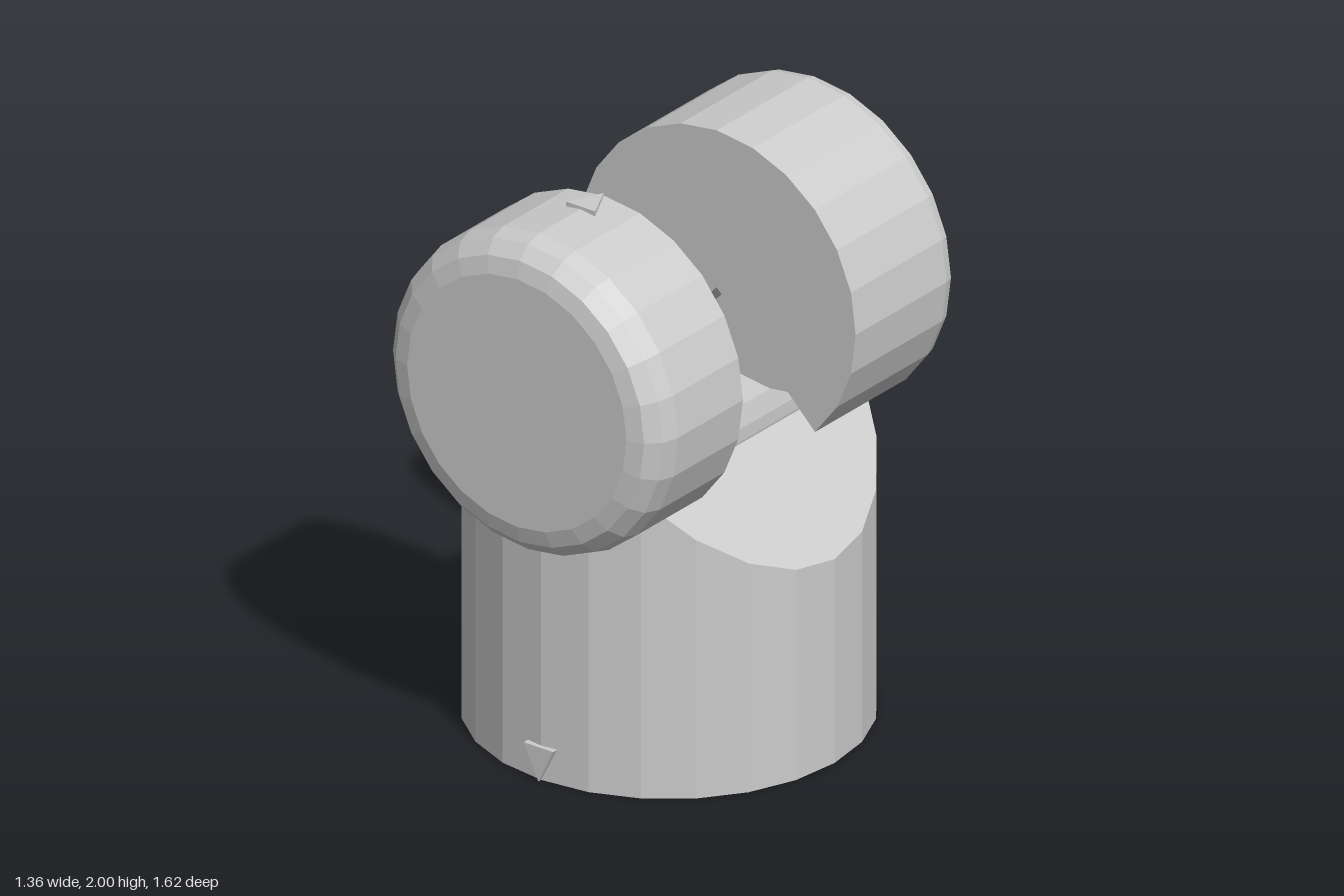
import * as THREE from 'three';

const SIDES = 24;
const AXIS_Y = 1.42;   // height of the horizontal axis
const R = 0.57;        // horizontal drum radius
const BASE_R = 0.68;   // vertical base radius
const JOIN_Z = 0.54;   // where the mitred drum part meets the full drum part
const STEP = (Math.PI * 2) / SIDES;

const material = new THREE.MeshStandardMaterial({ color: 0xcccccc, flatShading: true });
const sheetMaterial = new THREE.MeshStandardMaterial({ color: 0xcccccc, flatShading: true, side: THREE.DoubleSide });

function addMesh(parent, name, geometry, mat = material) {
  const mesh = new THREE.Mesh(geometry, mat);
  mesh.name = name;
  parent.add(mesh);
  return mesh;
}

function fromTriangles(triangles) {
  const g = new THREE.BufferGeometry().setFromPoints(triangles.flat());
  g.computeVertexNormals();
  return g;
}

// Round base: flat bottom, top mitred by two 45 degree planes, with a groove along z
function makeBase() {
  const group = new THREE.Group();
  group.name = 'base';
  const V = (x, y, z) => new THREE.Vector3(x, y, z);
  const ring = [];
  for (let i = 0; i <= SIDES; i++) {
    const x = BASE_R * Math.sin(i * STEP), z = BASE_R * Math.cos(i * STEP);
    ring.push({ low: V(x, 0, z), high: V(x, Math.min(AXIS_Y - Math.abs(x), AXIS_Y - BASE_R / 2), z) });
  }

  const wall = [], bottom = [];
  for (let i = 0; i < SIDES; i++) {
    const a = ring[i], b = ring[i + 1];
    wall.push([a.low, b.low, b.high], [a.low, b.high, a.high]);
    bottom.push([V(0, 0, 0), b.low, a.low]);
  }
  addMesh(group, 'baseWall', fromTriangles(wall), sheetMaterial);
  addMesh(group, 'baseBottom', fromTriangles(bottom));

  // Sloped faces left and right: fans over the ring from 30 to 150 degrees
  for (const [name, first] of [['slopeLeft', 2], ['slopeRight', 14]]) {
    const fan = [];
    for (let i = first + 1; i < first + 8; i++) fan.push([ring[first].high, ring[i].high, ring[i + 1].high]);
    addMesh(group, name, fromTriangles(fan), sheetMaterial);
  }

  // Concave groove between the slopes
  const groove = [], gr = 0.48, gz = 0.588;
  const at = (i, z) => V(gr * Math.sin(i * STEP), AXIS_Y - gr * Math.cos(i * STEP), z);
  for (let i = -3; i < 3; i++) {
    groove.push([at(i, gz), at(i + 1, gz), at(i + 1, -gz)], [at(i, gz), at(i + 1, -gz), at(i, -gz)]);
  }
  addMesh(group, 'groove', fromTriangles(groove), sheetMaterial);
  return group;
}

// Horizontal drum end; sign +1 is the front, -1 the back
function makeDrum(name, sign, innerZ, bevel) {
  const group = new THREE.Group();
  group.name = name;

  // Mitred inner part: 24-sided disc with a 90 degree wedge removed below
  const shape = new THREE.Shape();
  shape.moveTo(0, 0);
  for (let i = -3; i <= 15; i++) shape.lineTo(R * Math.cos(i * STEP), R * Math.sin(i * STEP));
  shape.closePath();
  const inner = new THREE.ExtrudeGeometry(shape, { depth: JOIN_Z - innerZ, bevelEnabled: false });
  inner.translate(0, AXIS_Y, sign > 0 ? innerZ : -JOIN_Z);
  addMesh(group, 'mitredDrum', inner);

  // Full outer part with a rounded rim
  const profile = [new THREE.Vector2(0, JOIN_Z), new THREE.Vector2(R, JOIN_Z)];
  for (let i = 0; i <= 3; i++) {
    const a = (i * Math.PI) / 6;
    profile.push(new THREE.Vector2(R - bevel + bevel * Math.cos(a), 0.81 - bevel + bevel * Math.sin(a)));
  }
  profile.push(new THREE.Vector2(0, 0.81));
  const outer = new THREE.LatheGeometry(profile, SIDES);
  outer.rotateX((sign * Math.PI) / 2).translate(0, AXIS_Y, 0);
  addMesh(group, 'roundedDrumEnd', outer);
  return group;
}

// Small raised triangle, pointing down in its own plane
function makeMarker(name, depth) {
  const shape = new THREE.Shape();
  shape.moveTo(0, 0);
  shape.lineTo(0.06, 0.125);
  shape.lineTo(-0.06, 0.125);
  shape.closePath();
  const mesh = new THREE.Mesh(new THREE.ExtrudeGeometry(shape, { depth, bevelEnabled: false }), material);
  mesh.name = name;
  return mesh;
}

export function createModel() {
  const model = new THREE.Group();
  model.name = 'teeJoint';
  model.add(makeBase());
  model.add(makeDrum('frontDrum', 1, 0.345, 0.12));
  model.add(makeDrum('backDrum', -1, 0.255, 0.07));

  const frontMarker = makeMarker('frontMarker', 0.04);
  frontMarker.position.set(0, 0, 0.655);
  const topMarker = makeMarker('topMarker', 0.03);
  topMarker.rotation.set(Math.PI / 2, 0, 0);
  topMarker.position.set(0, 2.0, 0.346);
  model.add(frontMarker, topMarker);
  return model;
}
